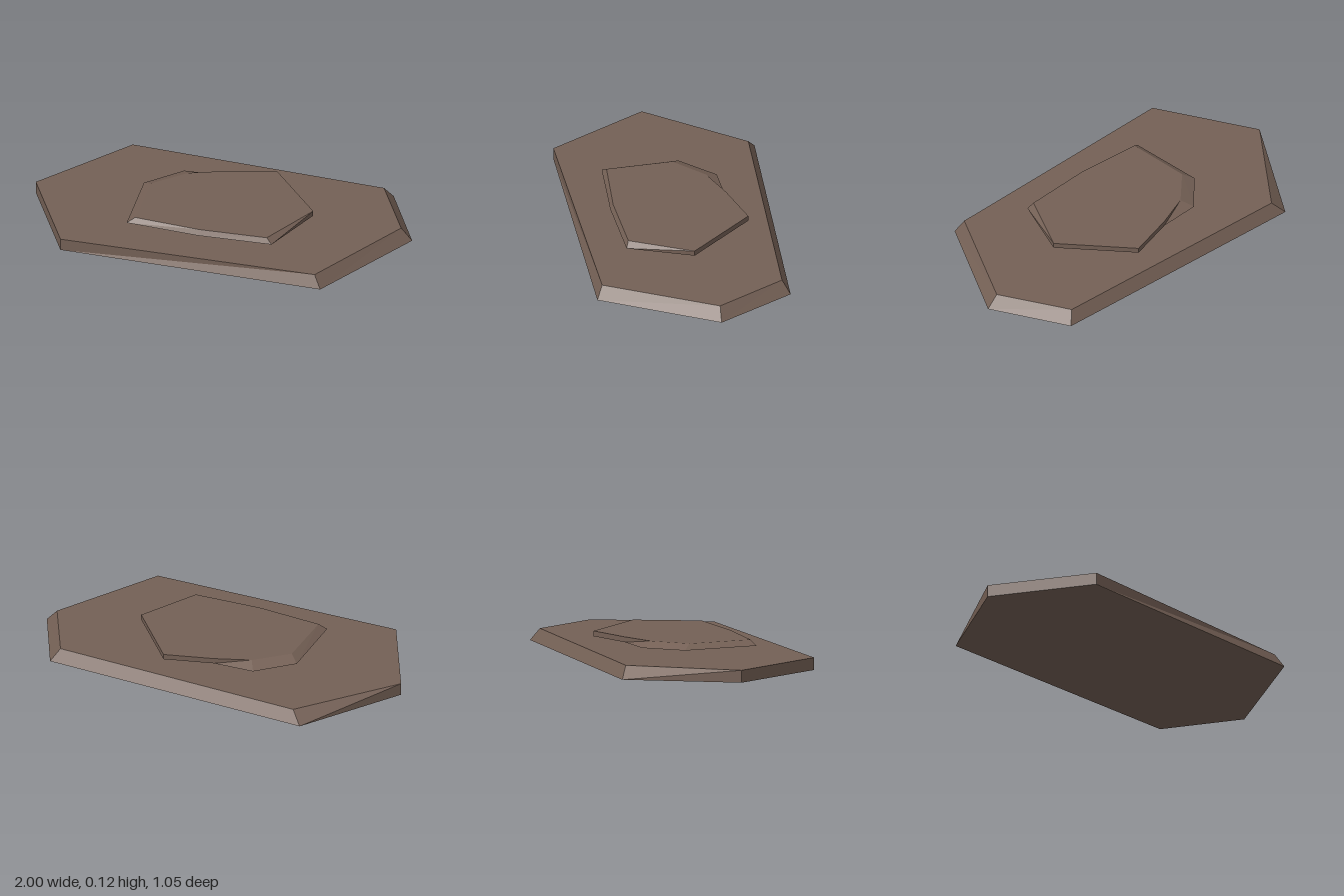
import * as THREE from 'three';

// Closed slab between two outlines [x, z], ordered front -> right -> back -> left.
function slab(name, bottom, top, y0, y1, material) {
  const pos = [];
  const n = bottom.length;
  const low = (i) => [bottom[i % n][0], y0, bottom[i % n][1]];
  const high = (i) => [top[i % n][0], y1, top[i % n][1]];
  const tri = (a, b, c) => pos.push(...a, ...b, ...c);
  for (let i = 0; i < n; i++) {
    tri(low(i), low(i + 1), high(i + 1));
    tri(low(i), high(i + 1), high(i));
    tri([0, y1, 0], high(i), high(i + 1));
    tri([0, y0, 0], low(i + 1), low(i));
  }
  const geometry = new THREE.BufferGeometry();
  geometry.setAttribute('position', new THREE.Float32BufferAttribute(pos, 3));
  geometry.computeVertexNormals();
  const mesh = new THREE.Mesh(geometry, material);
  mesh.name = name;
  return mesh;
}

export function createModel() {
  const group = new THREE.Group();
  group.name = 'steppedStone';
  const stone = new THREE.MeshStandardMaterial({ color: 0x746055, flatShading: true });
  stone.name = 'brownStone';

  // Wide hexagonal slab, chipped along the back and right edges
  group.add(slab('baseSlab',
    [[-0.7, 0.52], [0.7, 0.47], [1, -0.14], [0.77, -0.53], [-0.7, -0.53], [-1, 0.02]],
    [[-0.7, 0.52], [0.66, 0.44], [0.94, -0.14], [0.73, -0.49], [-0.64, -0.49], [-1, 0.02]],
    0, 0.065, stone));

  // Thin irregular plate hovering just above it
  group.add(slab('upperPlate',
    [[-0.41, 0.305], [-0.02, 0.31], [0.37, 0.275], [0.485, -0.065],
      [0.18, -0.385], [-0.07, -0.3], [-0.29, -0.28], [-0.45, -0.1]],
    [[-0.37, 0.285], [-0.02, 0.295], [0.34, 0.262], [0.485, -0.065],
      [0.18, -0.385], [-0.07, -0.3], [-0.25, -0.22], [-0.4, -0.06]],
    0.096, 0.124, stone));

  return group;
}
